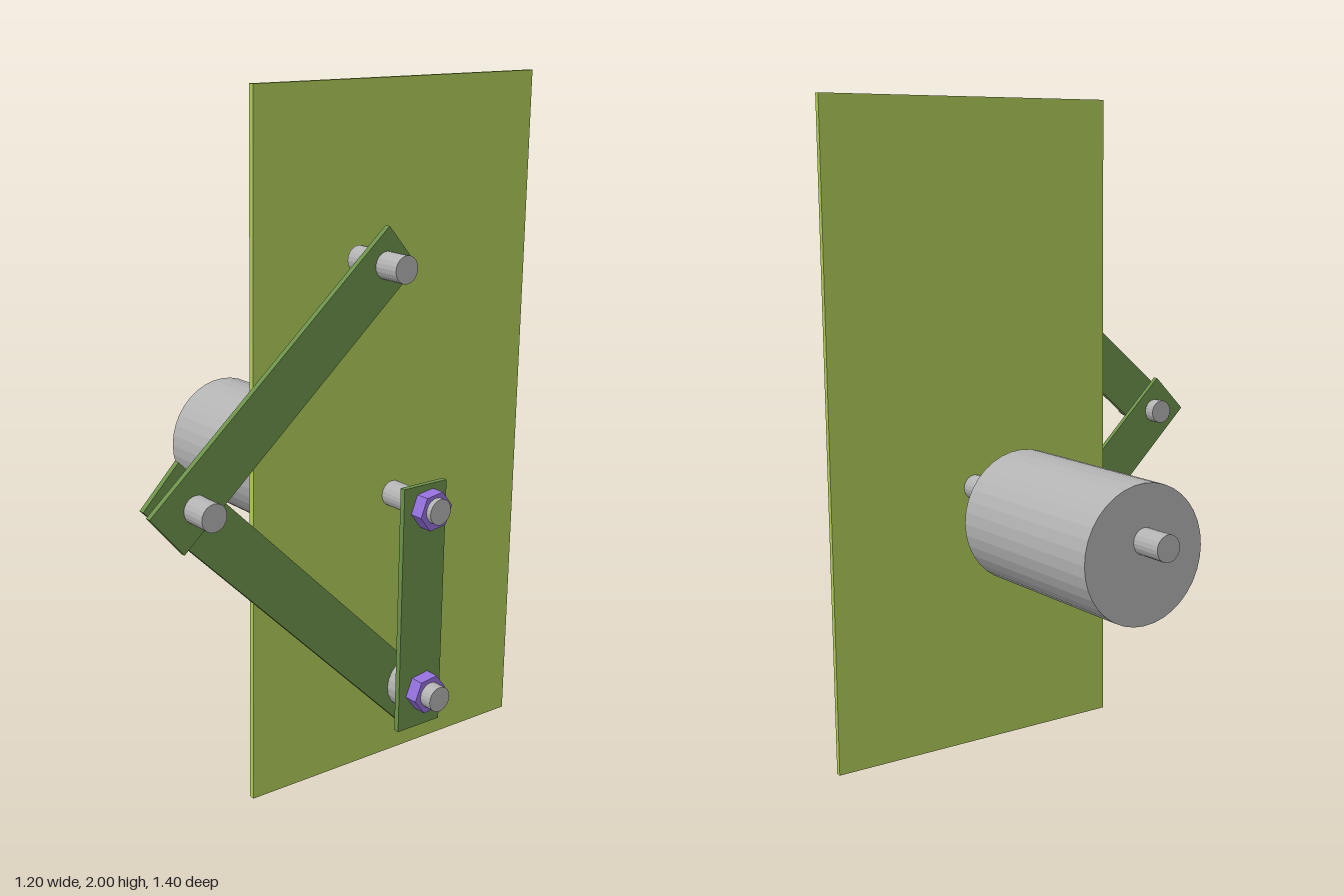
import * as THREE from 'three';

const mat = (name, color) => {
  const m = new THREE.MeshStandardMaterial({ color, flatShading: true });
  m.name = name;
  return m;
};

export function createModel() {
  const group = new THREE.Group();
  const lime = mat('lime', 0xaeca57);
  const green = mat('green', 0x6c904a);
  const grey = mat('grey', 0xb2b2b2);
  const purple = mat('purple', 0x9370db);

  const add = (name, geometry, material) => {
    const mesh = new THREE.Mesh(geometry, material);
    mesh.name = name;
    group.add(mesh);
    return mesh;
  };

  // Round (or hexagonal) part lying along x from x0 to x1
  const rod = (name, x0, x1, y, z, r, material = grey, sides = 20, turn = 0) => {
    const g = new THREE.CylinderGeometry(r, r, x1 - x0, sides);
    g.rotateZ(-Math.PI / 2).rotateX(turn);
    add(name, g, material).position.set((x0 + x1) / 2, y, z);
  };
  const nut = (name, x0, x1, y, z) => rod(name, x0, x1, y, z, 0.058, purple, 6, 0.14);

  // Flat bar between two end midpoints, each given as [z, y]
  const bar = (name, x0, x1, a, b, width) => {
    const dz = b[0] - a[0], dy = b[1] - a[1];
    const g = new THREE.BoxGeometry(x1 - x0, width, Math.hypot(dz, dy));
    g.rotateX(-Math.atan2(dy, dz));
    add(name, g, green).position.set((x0 + x1) / 2, (a[1] + b[1]) / 2, (a[0] + b[0]) / 2);
  };

  // Mounting panel
  add('panel', new THREE.BoxGeometry(0.017, 2, 0.982), lime).position.set(0.359, 1, -0.211);

  // Motor with its off-centre shaft
  rod('motorBody', -0.5, 0.086, 0.785, -0.215, 0.196, grey, 36);
  rod('motorShaft', -0.6, 0.575, 0.823, -0.213, 0.038);
  nut('shaftNut', 0.517, 0.558, 0.82, -0.213);

  // Linkage bars
  bar('crank', 0.5, 0.517, [-0.207, 0.148], [-0.207, 0.89], 0.156);
  bar('coupler', 0.438, 0.455, [-0.265, 0.172], [0.627, 1.029], 0.155);
  bar('rocker', 0.5, 0.517, [-0.102, 1.574], [0.65, 0.918], 0.153);

  // Joint pins
  rod('topPin', 0.4, 0.597, 1.528, -0.045, 0.038);
  rod('elbowPin', 0.4, 0.597, 0.975, 0.562, 0.038);
  rod('crankPin', 0.4, 0.597, 0.26, -0.213, 0.038);
  rod('spacer', 0.455, 0.5, 0.263, -0.215, 0.077);
  nut('crankPinInnerNut', 0.4, 0.438, 0.26, -0.213);
  nut('crankPinOuterNut', 0.517, 0.558, 0.26, -0.213);

  return group;
}
